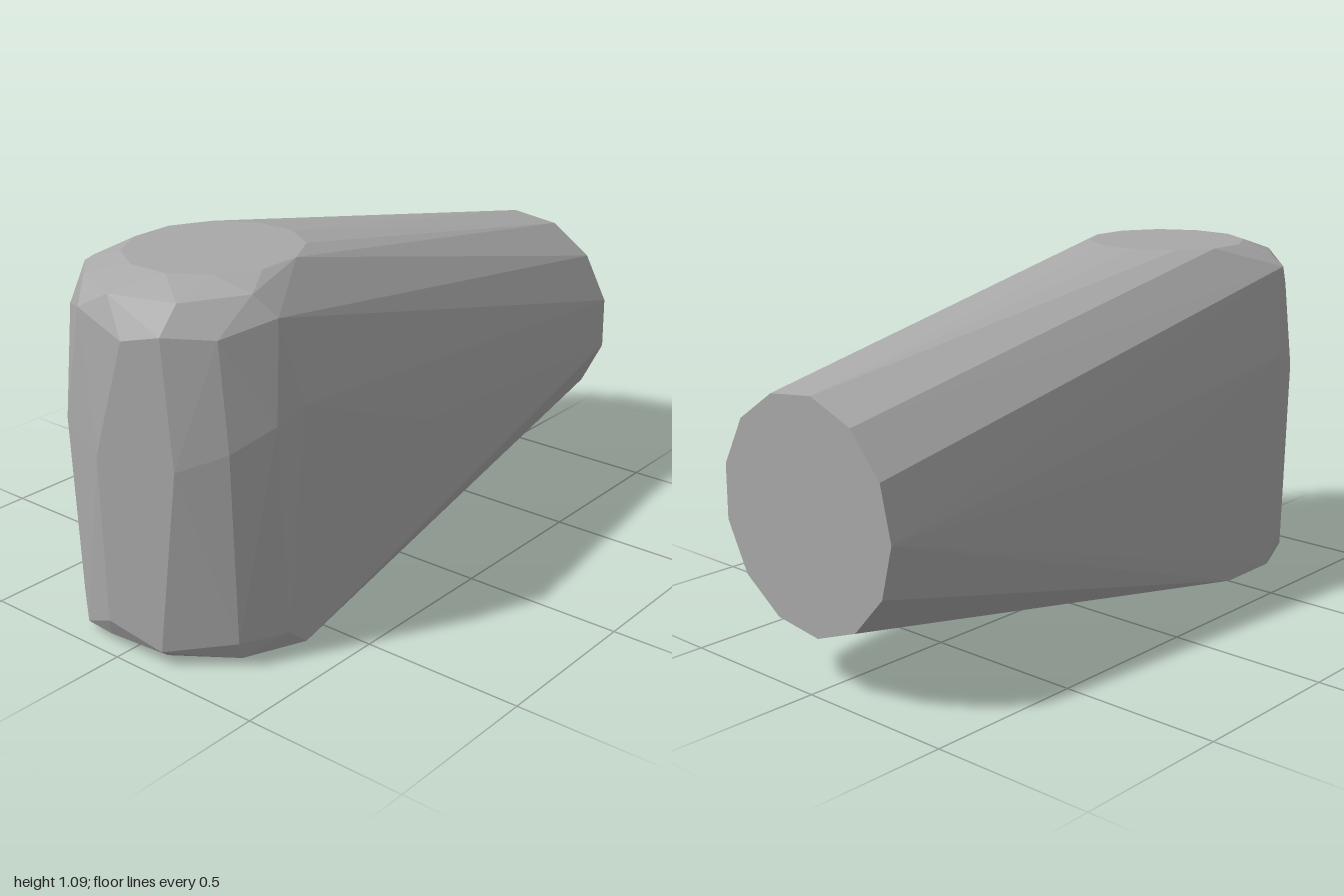
import * as THREE from 'three';
import { ConvexGeometry } from 'three/addons/geometries/ConvexGeometry.js';

const CENTRE_Z = 0.6; // axis of the upright rounded nose

// Front half-ring: [x, y] pairs placed on a circle of the given radius
function frontArc(pairs, radius) {
  return pairs.map(([x, y]) =>
    new THREE.Vector3(x, y, CENTRE_Z + Math.sqrt(Math.max(0, radius * radius - x * x))));
}

// Full level ring, with height as a function of z
function levelRing(count, rx, rz, cz, phase, height) {
  return Array.from({ length: count }, (_, i) => {
    const a = phase + (i / count) * Math.PI * 2;
    const z = cz + rz * Math.sin(a);
    return new THREE.Vector3(rx * Math.cos(a), height(z), z);
  });
}

export function createModel() {
  const group = new THREE.Group();
  group.name = 'taperedBlock';

  const grey = new THREE.MeshStandardMaterial({ color: 0xa8a8a8, flatShading: true });
  grey.name = 'plain grey';

  // Round flat end at the back
  const backEnd = Array.from({ length: 13 }, (_, i) => {
    const a = 0.253 + (i / 13) * Math.PI * 2;
    return new THREE.Vector3(0.342 * Math.cos(a), 0.515 + 0.342 * Math.sin(a), -1);
  });

  // Widest line around the nose, dipping at the front
  const belt = frontArc([[-0.395, 0.74], [-0.34, 0.68], [-0.25, 0.63], [-0.04, 0.6],
    [0.2, 0.6], [0.31, 0.65], [0.375, 0.71], [0.395, 0.75]], 0.398);

  // Uneven shoulder below the top
  const shoulder = frontArc([[-0.355, 1.02], [-0.285, 0.94], [-0.13, 0.99],
    [0.05, 0.94], [0.16, 0.965], [0.28, 0.96], [0.36, 1.0]], 0.375);
  const bevel = frontArc([[-0.3, 1.05], [-0.2, 1.05], [-0.04, 1.04], [0.17, 1.045], [0.3, 1.06]], 0.33);

  // Nearly level top and gently tilted base
  const top = levelRing(12, 0.25, 0.26, 0.565, Math.PI / 12, (z) => 1.093 - 0.008 * Math.max(0, z - 0.3));
  const base = levelRing(11, 0.368, 0.36, 0.6, 0.05, (z) => Math.max(0, (z - 0.25) * 0.04));

  // Uneven lower edge of the nose
  const lowerEdge = frontArc([[-0.365, 0.12], [-0.3, 0.037], [-0.17, 0.03], [-0.04, 0.095],
    [0.14, 0.05], [0.31, 0.08], [0.375, 0.08]], 0.387);

  // Slight bulge in each flank
  const flanks = [-1, 1].map((s) => new THREE.Vector3(s * 0.378, 0.52, 0.08));

  const body = new THREE.Mesh(new ConvexGeometry(
    [...backEnd, ...belt, ...shoulder, ...bevel, ...top, ...base, ...lowerEdge, ...flanks]), grey);
  body.name = 'body';
  group.add(body);
  return group;
}
